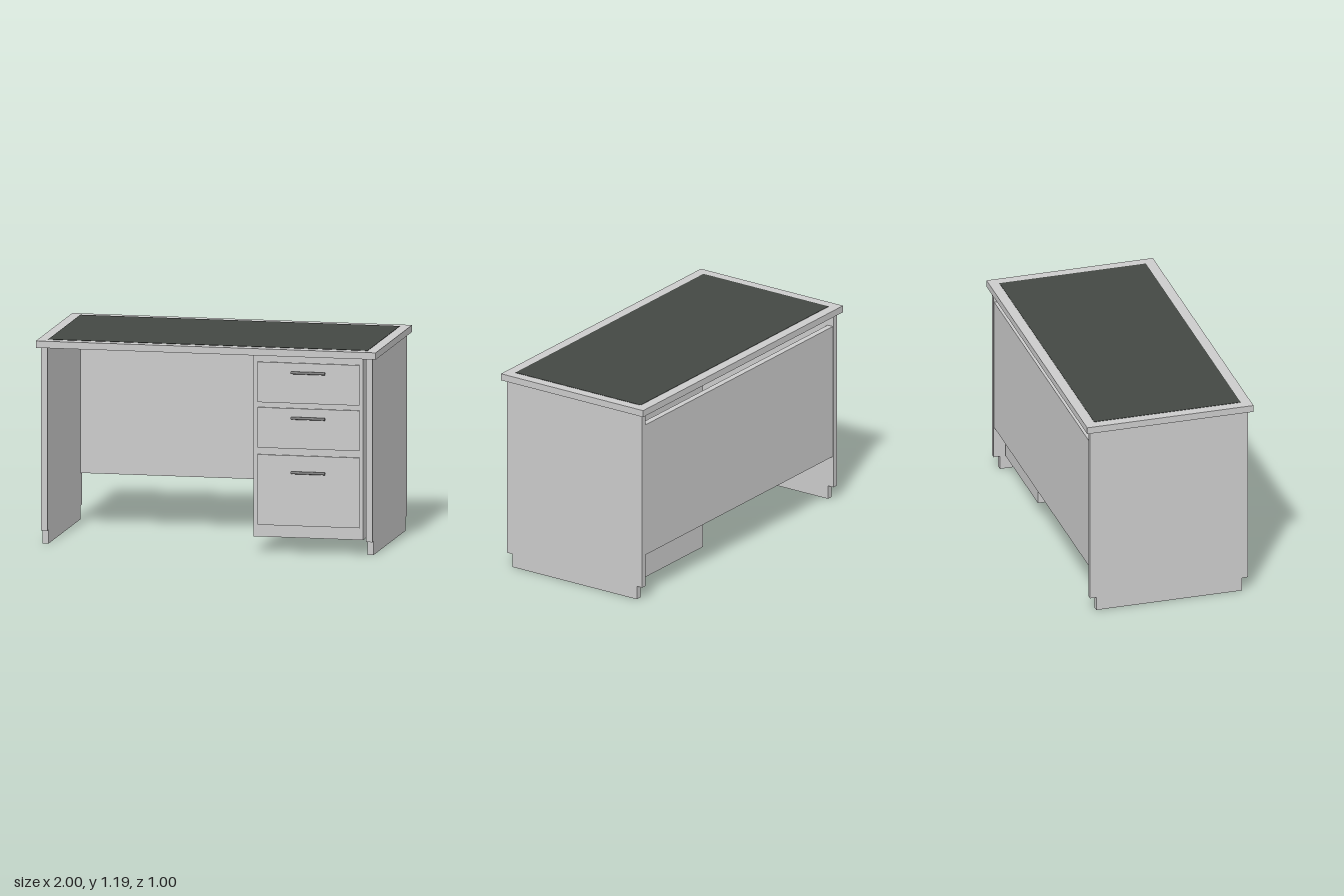
import * as THREE from 'three';

const grey = new THREE.MeshStandardMaterial({ color: 0xcccccc });
const matDark = new THREE.MeshStandardMaterial({ color: 0x444844 });
const handleGrey = new THREE.MeshStandardMaterial({ color: 0x808080 });

// Box given by its limits on each axis
function box(name, [x0, x1], [y0, y1], [z0, z1], material = grey) {
  const mesh = new THREE.Mesh(new THREE.BoxGeometry(x1 - x0, y1 - y0, z1 - z0), material);
  mesh.position.set((x0 + x1) / 2, (y0 + y1) / 2, (z0 + z1) / 2);
  mesh.name = name;
  return mesh;
}

// Round bar on two short posts
function makeHandle(x, y, z) {
  const handle = new THREE.Group();
  handle.name = 'drawerHandle';
  const bar = new THREE.Mesh(new THREE.CylinderGeometry(0.008, 0.008, 0.2, 16), handleGrey);
  bar.name = 'handleBar';
  bar.rotation.z = Math.PI / 2;
  bar.position.z = 0.013;
  handle.add(bar);
  for (const side of [-1, 1]) {
    const post = new THREE.Mesh(new THREE.CylinderGeometry(0.005, 0.005, 0.014, 12), handleGrey);
    post.name = 'handlePost';
    post.rotation.x = Math.PI / 2;
    post.position.set(side * 0.085, 0, 0.006);
    handle.add(post);
  }
  handle.position.set(x, y, z);
  return handle;
}

export function createModel() {
  const desk = new THREE.Group();
  desk.name = 'desk';

  // Top with a thin dark writing surface
  desk.add(box('desktop', [-1, 1], [1.15, 1.19], [-0.5, 0.5]));
  desk.add(box('writingMat', [-0.94, 0.94], [1.185, 1.192], [-0.44, 0.44], matDark));

  // Side panels, each on a shorter plinth
  for (const [name, x] of [['right', [-0.975, -0.938]], ['left', [0.938, 0.975]]]) {
    desk.add(box(name + 'SidePanel', x, [0.08, 1.15], [-0.475, 0.475]));
    desk.add(box(name + 'Plinth', x, [0, 0.08], [-0.438, 0.438]));
  }

  // Back privacy panel
  desk.add(box('backPanel', [-0.938, 0.938], [0.27, 1.075], [-0.472, -0.435]));

  // Drawer pedestal hung under the top
  const pedestal = new THREE.Group();
  pedestal.name = 'drawerPedestal';
  pedestal.add(box('pedestalBody', [0.275, 0.92], [0.09, 1.15], [-0.41, 0.47]));
  const drawers = [[0.875, 1.11, 1.055], [0.61, 0.845, 0.79], [0.16, 0.57, 0.472]];
  for (const [bottom, top, handleY] of drawers) {
    pedestal.add(box('drawerFront', [0.3, 0.9], [bottom, top], [0.46, 0.479]));
    pedestal.add(makeHandle(0.6, handleY, 0.479));
  }
  desk.add(pedestal);

  return desk;
}
